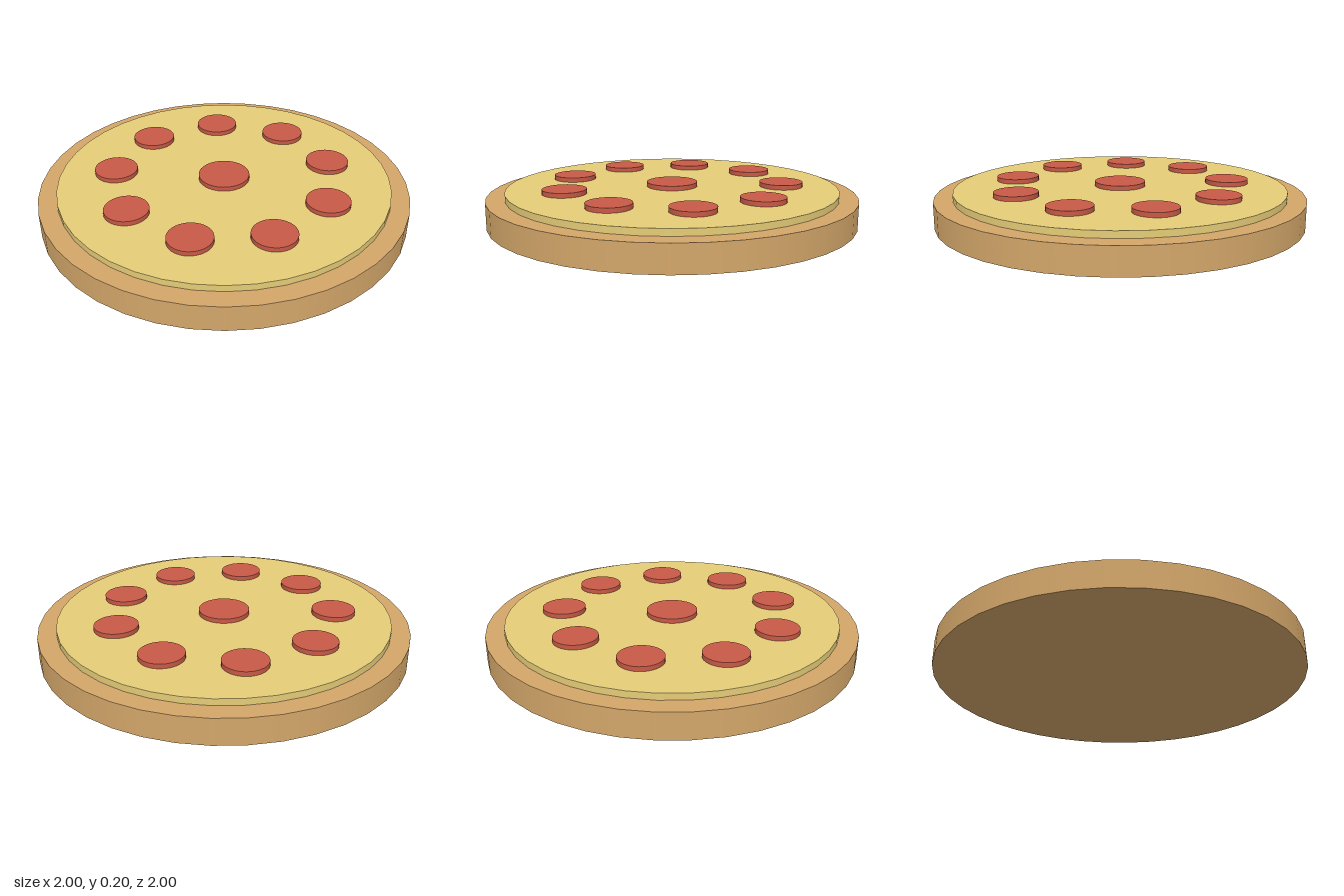
import * as THREE from 'three';

const material = (color) => new THREE.MeshStandardMaterial({ color });

// Upright disc spanning y0..y1
function disc(name, radius, y0, y1, sides, mat, x = 0, z = 0) {
  const mesh = new THREE.Mesh(new THREE.CylinderGeometry(radius, radius, y1 - y0, sides), mat);
  mesh.name = name;
  mesh.position.set(x, (y0 + y1) / 2, z);
  return mesh;
}

export function createModel() {
  const pizza = new THREE.Group();
  pizza.name = 'pizza';
  const crustMat = material(0xd4a76a);
  const cheeseMat = material(0xe6cd78);
  const pepperoniMat = material(0xc85a46);

  // Base and cheese layer
  pizza.add(disc('crust', 1, 0, 0.14, 40, crustMat));
  pizza.add(disc('cheese', 0.9, 0.14, 0.175, 40, cheeseMat));

  // One large slice in the middle, nine around it
  const toppings = new THREE.Group();
  toppings.name = 'pepperoni';
  toppings.add(disc('centrePepperoni', 0.138, 0.17, 0.2, 32, pepperoniMat));
  const count = 9, ring = 0.597;
  for (let i = 0; i < count; i++) {
    const a = (i / count) * Math.PI * 2;
    toppings.add(disc(`pepperoniSlice${i + 1}`, 0.117, 0.17, 0.2, 32, pepperoniMat,
      Math.cos(a) * ring, Math.sin(a) * ring));
  }
  pizza.add(toppings);
  return pizza;
}
